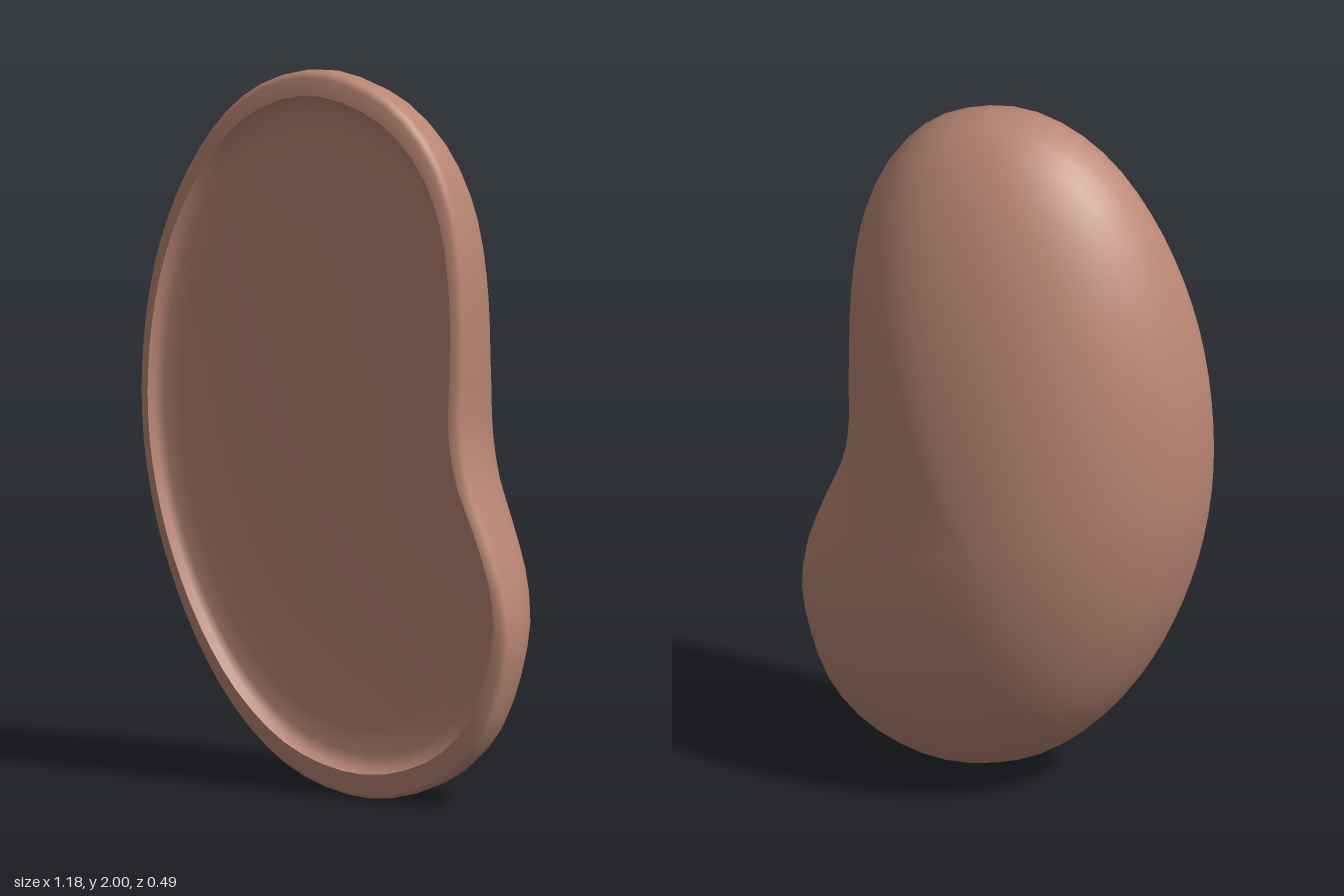
import * as THREE from 'three';

const SEGMENTS = 72, DOME_STEPS = 16;
const APEX = new THREE.Vector2(-0.06, 0.85); // deepest point of the back
const FRONT = 0.244;

// kidney outline, clockwise from the top
const OUTLINE = new THREE.CatmullRomCurve3([
  [0, 2], [0.2, 1.94], [0.33, 1.82], [0.405, 1.66], [0.438, 1.45], [0.44, 1.2],
  [0.435, 1.05], [0.46, 0.9], [0.53, 0.73], [0.575, 0.6], [0.59, 0.47], [0.56, 0.32],
  [0.5, 0.18], [0.4, 0.08], [0.27, 0.02], [0.14, 0], [0, 0.02], [-0.14, 0.08],
  [-0.29, 0.21], [-0.42, 0.4], [-0.52, 0.63], [-0.575, 0.85], [-0.593, 1.05],
  [-0.575, 1.3], [-0.52, 1.52], [-0.42, 1.73], [-0.29, 1.89], [-0.15, 1.975],
].map(([x, y]) => new THREE.Vector3(x, y, 0)), true).getSpacedPoints(SEGMENTS).slice(0, SEGMENTS);

// outline shrunk towards the apex by s, at depth z; the notch fills out as s falls
const ring = (s, z) => OUTLINE.map(p => {
  const fill = p.x > 0.2 ? 0.07 * (1 - s * s) * Math.exp(-(((p.y - 1) / 0.25) ** 2)) : 0;
  return new THREE.Vector3(
    APEX.x + (p.x + fill - APEX.x) * s, APEX.y + (p.y - APEX.y) * s, z);
});

// ring moved in by the width of the rim
const inset = points => points.map(p => new THREE.Vector3(
  -0.03 + (p.x + 0.03) * 0.945, 1.013 + (p.y - 1.013) * 0.933, p.z));

// closed rings joined into one smooth skin
function skin(rings) {
  const index = [];
  for (let r = 0; r < rings.length - 1; r++) {
    for (let i = 0; i < SEGMENTS; i++) {
      const j = (i + 1) % SEGMENTS;
      const a = r * SEGMENTS + i, b = r * SEGMENTS + j;
      index.push(a, a + SEGMENTS, b, b, a + SEGMENTS, b + SEGMENTS);
    }
  }
  const geometry = new THREE.BufferGeometry().setFromPoints(rings.flat());
  geometry.setIndex(index);
  geometry.computeVertexNormals();
  return geometry;
}

export function createModel() {
  const group = new THREE.Group();
  group.name = 'kidneyDish';
  const material = new THREE.MeshStandardMaterial({ color: 0xb98674, side: THREE.DoubleSide });
  const add = (name, rings) => {
    const mesh = new THREE.Mesh(skin(rings), material);
    mesh.name = name;
    group.add(mesh);
  };

  // elliptical dome from the apex at the back to a short straight wall
  const dome = [];
  for (let k = 0; k <= DOME_STEPS; k++) {
    const a = (k / DOME_STEPS) * Math.PI / 2;
    dome.push(ring(Math.max(Math.sin(a), 0.001), 0.2 - 0.444 * Math.cos(a)));
  }
  const innerLip = inset(ring(1, FRONT));

  // body with its rounded rim
  add('body', [...dome, ring(1, 0.226), ring(0.985, 0.238), innerLip]);

  // shallow recess with a nearly flat floor
  const floor = [[0.985, 0.215], [0.94, 0.205], [0.85, 0.2], [0.5, 0.197], [0.001, 0.196]];
  add('recessedFloor', [innerLip, ...floor.map(([s, z]) => inset(ring(s, z)))]);
  return group;
}
